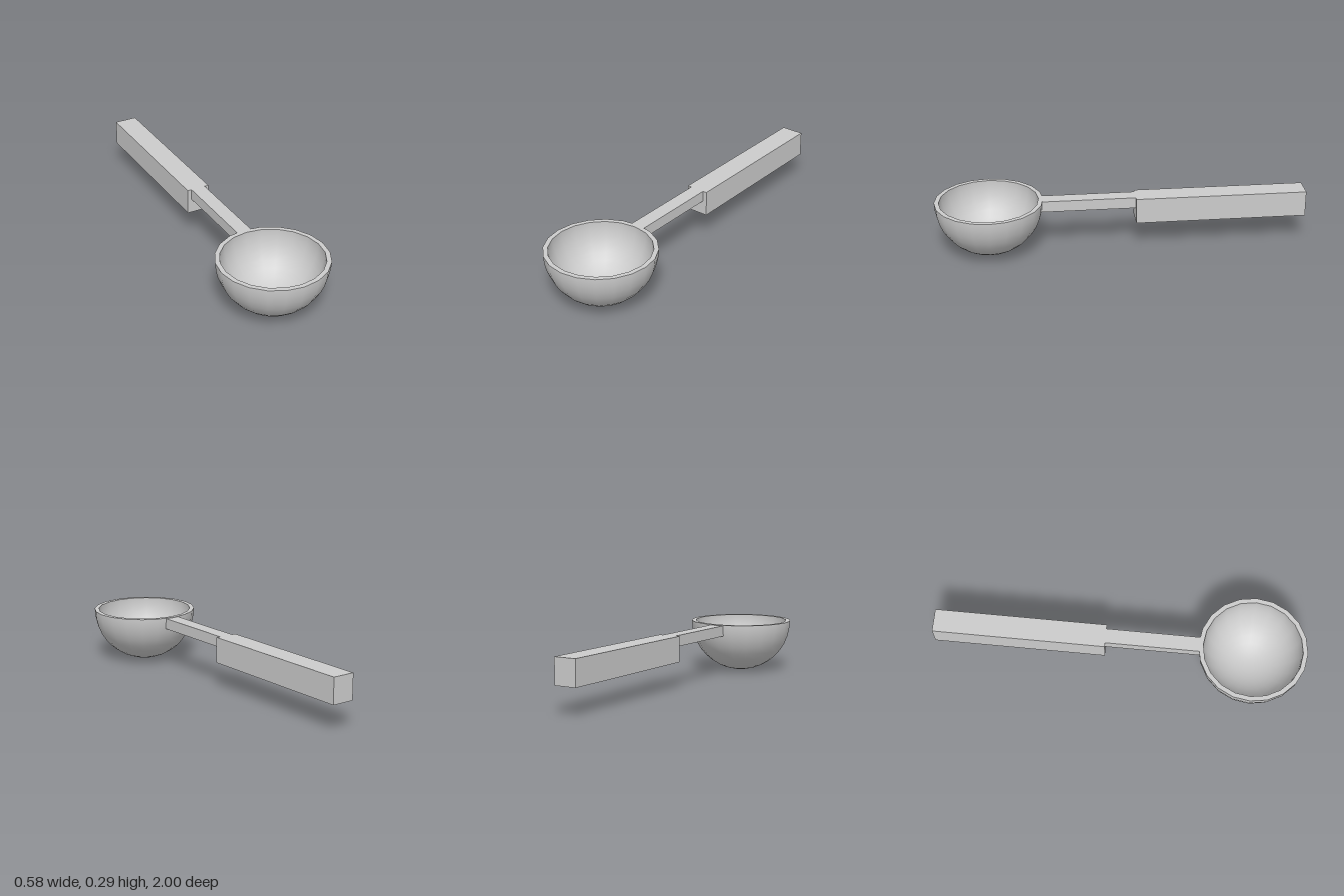
import * as THREE from 'three';

const TOP = 0.293;      // height of the rim
const BOWL_Z = 0.71;    // centre of the bowl
const OUTER = 0.29, INNER = 0.265;
const SIDES = 20, RINGS = 10;

export function createModel() {
  const model = new THREE.Group();
  const material = new THREE.MeshStandardMaterial({ color: 0xcccccc });
  const insideMaterial = new THREE.MeshStandardMaterial({ color: 0xcccccc, side: THREE.BackSide });

  function add(parent, name, geometry, mat = material) {
    const mesh = new THREE.Mesh(geometry, mat);
    mesh.name = name;
    parent.add(mesh);
    return mesh;
  }

  // Box given by its half width and its extents in y and z
  function addBar(name, halfWidth, y0, y1, z0, z1) {
    const bar = add(model, name, new THREE.BoxGeometry(2 * halfWidth, y1 - y0, z1 - z0));
    bar.position.set(0, (y0 + y1) / 2, (z0 + z1) / 2);
  }

  // Lower half of a sphere
  const halfSphere = (radius) =>
    new THREE.SphereGeometry(radius, SIDES, RINGS, 0, Math.PI * 2, Math.PI / 2, Math.PI / 2);

  // Hollow bowl: outer shell, inner shell and flat rim
  const bowl = new THREE.Group();
  bowl.name = 'bowl';
  bowl.position.set(0, TOP, BOWL_Z);
  add(bowl, 'bowlOutside', halfSphere(OUTER));
  add(bowl, 'bowlInside', halfSphere(INNER), insideMaterial);
  add(bowl, 'rim', new THREE.RingGeometry(INNER, OUTER, SIDES).rotateX(-Math.PI / 2));
  model.add(bowl);

  // Thin stem ending within the bowl wall, and thicker grip
  addBar('stem', 0.04, 0.23, 0.29, -0.075, 0.435);
  addBar('grip', 0.0625, 0.15, 0.29, -1, -0.075);

  return model;
}
